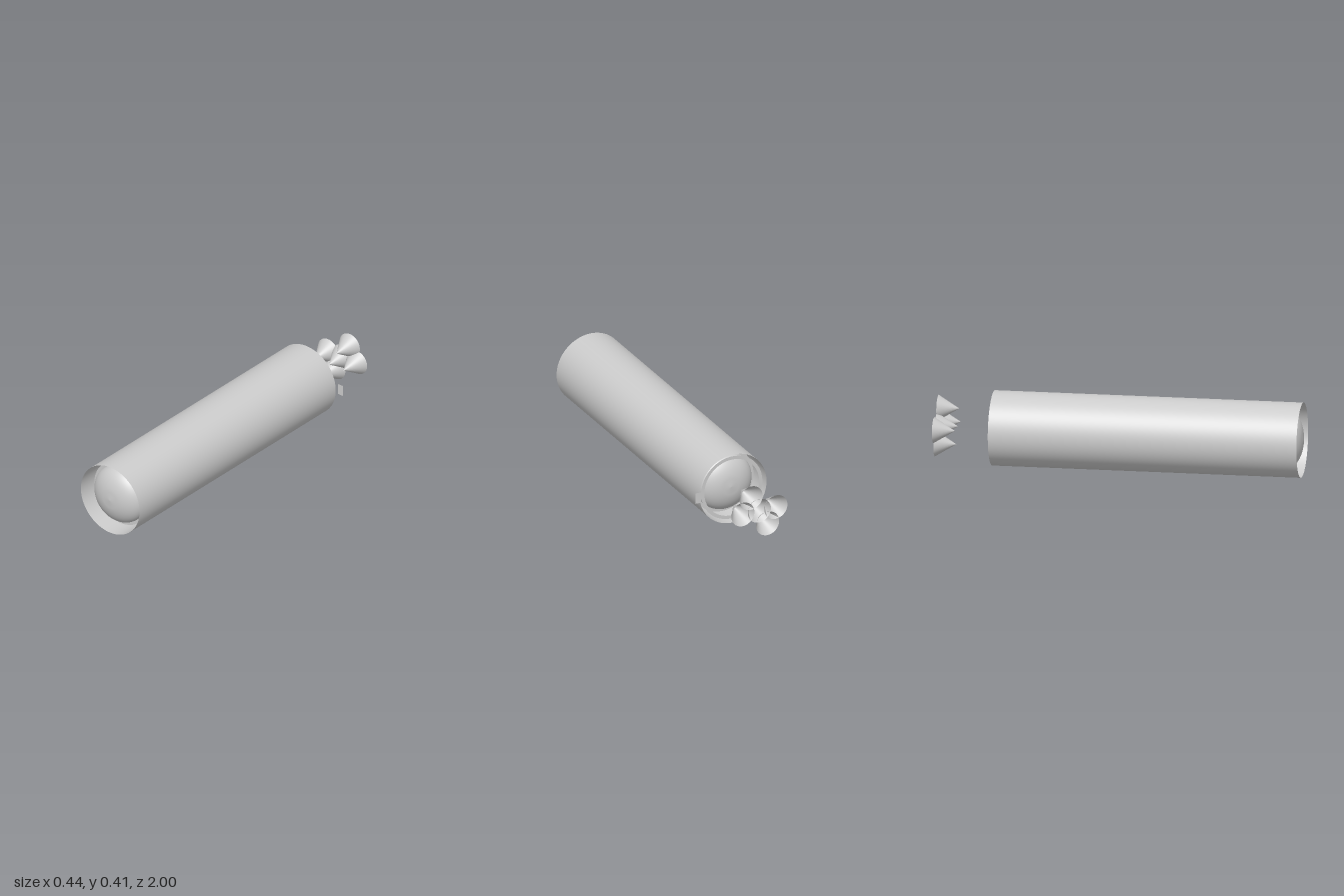
import * as THREE from 'three';

const material = new THREE.MeshStandardMaterial({ color: 0xcccccc, side: THREE.DoubleSide });
const INNER = 0.166, TANK = 0.185, SHELL = 0.203;

function add(parent, name, geometry, x = 0, y = 0, z = 0) {
  const mesh = new THREE.Mesh(geometry, material);
  mesh.name = name;
  mesh.position.set(x, y, z);
  parent.add(mesh);
  return mesh;
}

// Open tube along z between two depths
function tube(radius, z0, z1) {
  return new THREE.CylinderGeometry(radius, radius, z1 - z0, 96, 1, true)
    .rotateX(Math.PI / 2)
    .translate(0, 0, (z0 + z1) / 2);
}

// Half ellipsoid bulging towards +z, in even steps of height
function dome(radius, height, steps = 24) {
  const profile = [];
  for (let i = 0; i <= steps; i++) {
    const t = i / steps;
    profile.push(new THREE.Vector2(radius * Math.sqrt(1 - t * t), height * t));
  }
  return new THREE.LatheGeometry(profile, 96).rotateX(Math.PI / 2);
}

export function createModel() {
  const model = new THREE.Group();
  model.name = 'rocketStage';

  // Everything round shares one lengthwise axis
  const body = new THREE.Group();
  body.name = 'body';
  body.position.set(-0.018, 0.203, 0);
  model.add(body);

  add(body, 'outerShell', tube(SHELL, -0.69, 0.993));

  // Inner tank with a flange and a domed bulkhead at each end
  add(body, 'tankWall', tube(TANK, -0.57, 0.9));
  const flange = new THREE.RingGeometry(INNER, TANK, 96);
  add(body, 'frontFlange', flange, 0, 0, 0.9);
  add(body, 'rearFlange', flange, 0, 0, -0.57);
  add(body, 'frontDome', dome(INNER, 0.1), 0, 0, 0.9);
  add(body, 'rearDome', dome(INNER, 0.1), 0, 0, -0.57).rotation.y = Math.PI;

  // Thrust ring just inside the rear opening
  add(body, 'thrustRing', flange, 0, 0, -0.675);

  // Open cone nozzles: one in the middle, two pairs around it
  const nozzle = new THREE.ConeGeometry(0.07, 0.115, 48, 1, true).rotateX(Math.PI / 2);
  add(body, 'centreNozzle', nozzle, 0, 0, -0.9425);
  for (const degrees of [0, 60, 180, 240]) {
    const a = THREE.MathUtils.degToRad(degrees);
    add(body, 'outerNozzle', nozzle, 0.1 * Math.cos(a), 0.1 * Math.sin(a), -0.9425);
  }

  // Small flat plate beside the rear opening
  add(model, 'sidePlate', new THREE.PlaneGeometry(0.035, 0.062), 0.202, 0.203, -0.71);

  return model;
}
